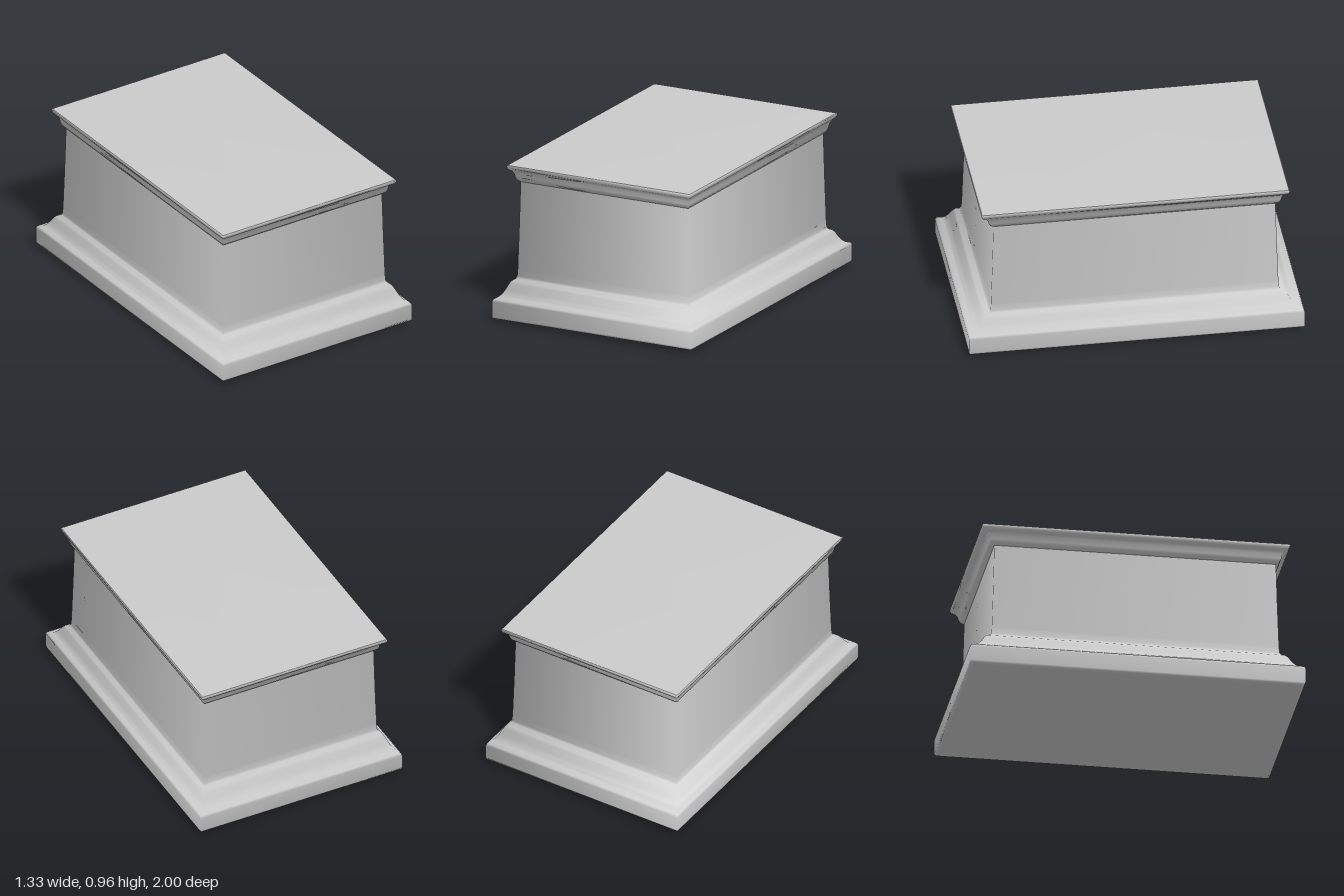
import * as THREE from 'three';

// Rectangular ring stack: a four-sided lathe turned square, then stretched in z.
// Points are [half width, height], listed from bottom to top.
function squareLathe(name, points) {
  const profile = points.map(([w, y]) => new THREE.Vector2(w * Math.SQRT2, y));
  const geometry = new THREE.LatheGeometry(profile, 4, Math.PI / 4);
  geometry.scale(1, 1, 1.5);
  const mesh = new THREE.Mesh(geometry, new THREE.MeshStandardMaterial({ color: 0xcccccc }));
  mesh.name = name;
  return mesh;
}

export function createModel() {
  const group = new THREE.Group();
  group.name = 'plinth';

  group.add(
    // Slightly domed underside
    squareLathe('underside', [[0, 0], [0.25, 0.004], [0.45, 0.01], [0.655, 0.021]]),

    // Base slab with an ogee moulding up to the wall
    squareLathe('baseMoulding', [
      [0.655, 0.021], [0.664, 0.028], [0.667, 0.04], [0.667, 0.13], [0.662, 0.144],
      [0.642, 0.154], [0.628, 0.17], [0.616, 0.193], [0.604, 0.223], [0.594, 0.24],
      [0.578, 0.251], [0.573, 0.265], [0.571, 0.3],
    ]),

    // Tapering wall
    squareLathe('wall', [[0.571, 0.3], [0.565, 0.57], [0.56, 0.842]]),

    // Flared cornice
    squareLathe('cornice', [
      [0.56, 0.842], [0.574, 0.858], [0.58, 0.876], [0.584, 0.9], [0.592, 0.916],
      [0.605, 0.928], [0.61, 0.938], [0.612, 0.95], [0.609, 0.956],
    ]),

    // Flat top
    squareLathe('top', [[0.609, 0.956], [0.4, 0.958], [0, 0.96]]),
  );
  return group;
}
